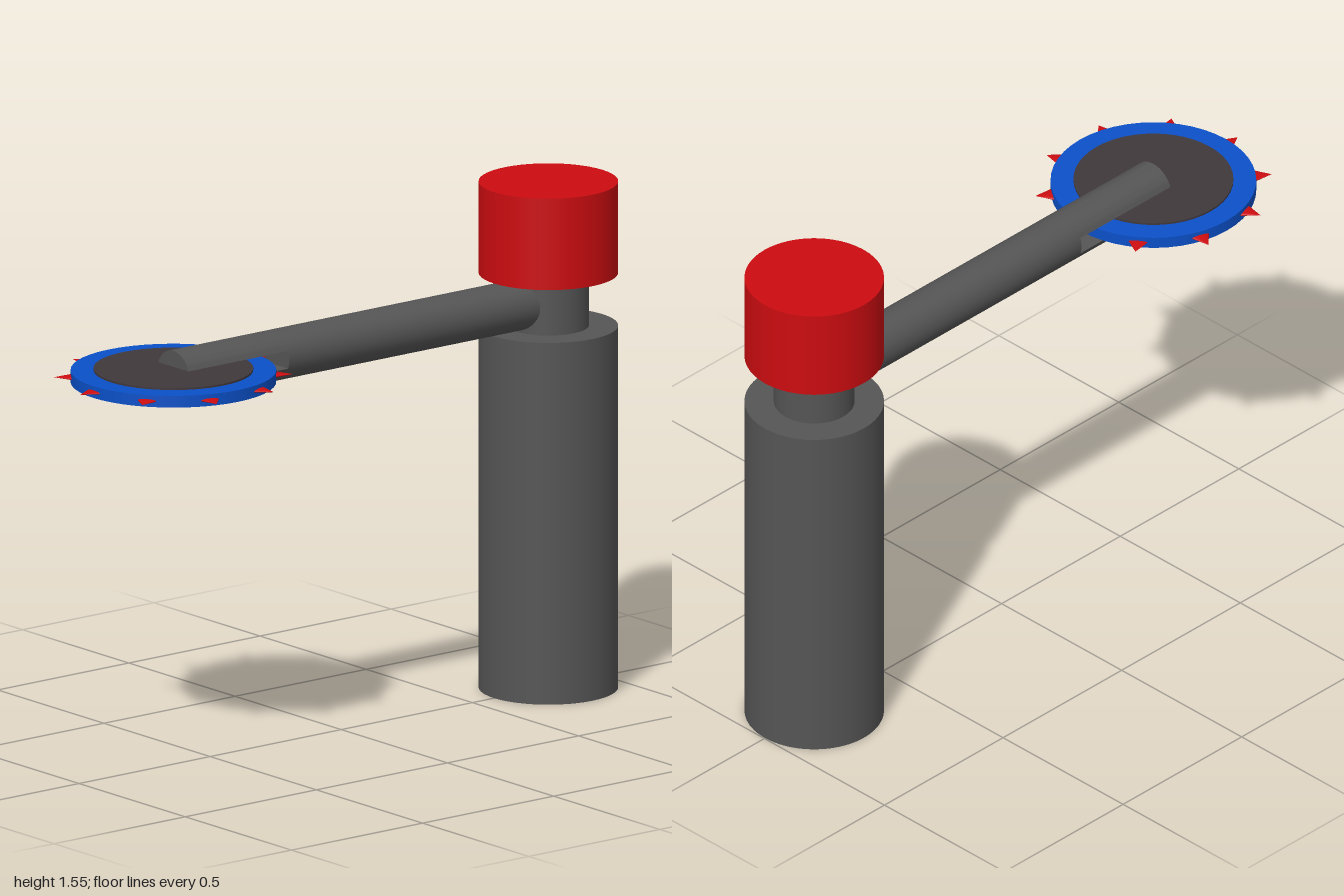
import * as THREE from 'three';
import { toCreasedNormals } from 'three/addons/utils/BufferGeometryUtils.js';

const COLUMN_Z = -0.79, BLADE_Z = 0.64, ARM_Y = 1.19, ARM_R = 0.076;
const SLOT_START = 0.26, SLOT_HALF = 0.027;

const paint = (color) => new THREE.MeshStandardMaterial({ color });

export function createModel() {
  const model = new THREE.Group();
  const steel = paint(0x555555);
  const red = paint(0xcc0c10);
  const blue = paint(0x0b50c8);
  const dark = paint(0x40383c);

  const add = (name, geometry, material, parent = model) => {
    const mesh = new THREE.Mesh(geometry, material);
    mesh.name = name;
    parent.add(mesh);
    return mesh;
  };
  // Upright cylinder between two heights
  const upright = (name, r, y0, y1, z, material, parent) =>
    add(name, new THREE.CylinderGeometry(r, r, y1 - y0, 48), material, parent)
      .position.set(0, (y0 + y1) / 2, z);

  // Column, neck and cap
  upright('column', 0.207, 0, 1.108, COLUMN_Z, steel);
  upright('neck', 0.12, 1.108, 1.27, COLUMN_Z, steel);
  upright('cap', 0.207, 1.27, 1.55, COLUMN_Z, red);

  // Solid part of the arm, rooted inside the neck
  const armStart = COLUMN_Z + 0.04;
  const arm = add('arm',
    new THREE.CylinderGeometry(ARM_R, ARM_R, SLOT_START - armStart, 40), steel);
  arm.rotation.x = Math.PI / 2;
  arm.position.set(0, ARM_Y, (armStart + SLOT_START) / 2);

  // Two fork prongs holding the blade from above and below
  const a = Math.asin(SLOT_HALF / ARM_R);
  const segment = new THREE.Shape().absarc(0, 0, ARM_R, a, Math.PI - a, false);
  const prongGeometry = toCreasedNormals(new THREE.ExtrudeGeometry(segment, {
    depth: BLADE_Z - SLOT_START, bevelEnabled: false, curveSegments: 20,
  }), 0.5);
  ['upperProng', 'lowerProng'].forEach((name, i) => {
    const prong = add(name, prongGeometry, steel);
    prong.position.set(0, ARM_Y, SLOT_START);
    prong.rotation.z = i * Math.PI;
  });

  // Saw blade: hub disc slightly thicker than the rim
  const blade = new THREE.Group();
  blade.name = 'blade';
  blade.position.set(0, ARM_Y, BLADE_Z);
  model.add(blade);
  upright('rim', 0.305, -0.018, 0.018, 0, blue, blade);
  upright('hubDisc', 0.237, -0.024, 0.024, 0, dark, blade);

  // Flattened cone teeth around the rim
  const tooth = new THREE.ConeGeometry(0.034, 0.062, 20);
  tooth.rotateX(Math.PI / 2).scale(1, 0.2, 1).translate(0, 0, 0.324);
  for (let i = 0; i < 10; i++) {
    add('tooth', tooth, red, blade).rotation.y = (i * Math.PI) / 5;
  }
  return model;
}
